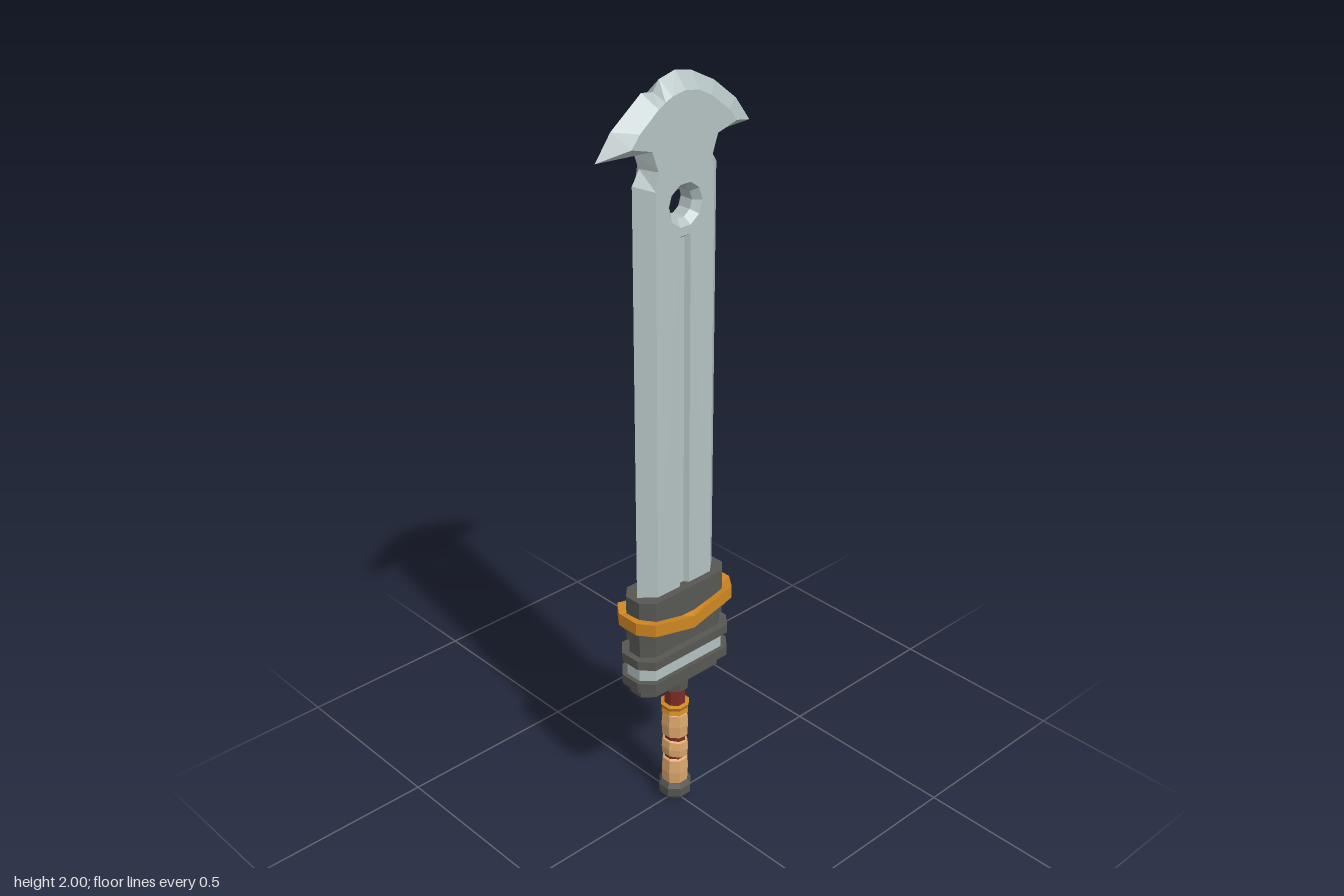
import * as THREE from 'three';

const mat = (name, color) => {
  const m = new THREE.MeshStandardMaterial({ color });
  m.name = name;
  return m;
};

// Flat-shaded copy of a geometry
const flat = (g) => {
  const f = g.index ? g.toNonIndexed() : g;
  f.computeVertexNormals();
  return f;
};

// Blade: flat cheeks, bevelled edges, a pierced hole and a fuller groove
function bladeGeometry() {
  const T = 0.035;
  // rows: edge a, edge y, cheek a, cheek y (a runs along -z)
  const side = [
    [0.13, 0.66, 0.09, 0.66], [0.13, 1.765, 0.09, 1.75], [0.108, 1.8, 0.082, 1.795],
    [0.122, 1.835, 0.1, 1.845], [0.235, 1.84, 0.16, 1.862], [0.19, 1.9, 0.135, 1.892],
  ];
  const crown = [
    [0.12, 1.955, 0.08, 1.935], [0.05, 1.99, 0.04, 1.955], [0, 2, 0, 1.962],
    [-0.048, 1.988, -0.04, 1.955], [-0.066, 1.963, -0.06, 1.946], [-0.1, 1.968, -0.08, 1.935],
  ];
  const mirrored = side.map(([a, b, c, d]) => [-a, b, -c, d]).reverse();
  const outline = [...side, ...crown, ...mirrored];
  const edge = outline.map(([a, b]) => new THREE.Vector2(a, b));
  const cheek = outline.map((r) => new THREE.Vector2(r[2], r[3]));
  const ring = (r) => Array.from({ length: 10 }, (_, i) => {
    const t = (i / 10) * Math.PI * 2;
    return new THREE.Vector2(r * Math.cos(t), 1.7 + r * Math.sin(t));
  });
  const rect = (w, y0, y1) => [[-w, y0], [w, y0], [w, y1], [-w, y1]].map((p) => new THREE.Vector2(...p));
  const rim = ring(0.053), bore = ring(0.036);
  const slot = rect(0.016, 0.67, 1.628), floor = rect(0.008, 0.675, 1.62);

  const tris = [];
  const strip = (A, za, B, zb) => A.forEach((_, i) => {
    const j = (i + 1) % A.length;
    const p = (v, z) => [v.x, v.y, z];
    tris.push([p(A[i], za), p(A[j], za), p(B[j], zb)], [p(A[i], za), p(B[j], zb), p(B[i], zb)]);
  });
  const sheet = (points, holes, z) => {
    const shape = new THREE.Shape(points);
    shape.holes = holes.map((h) => new THREE.Path(h));
    const g = new THREE.ShapeGeometry(shape).toNonIndexed().attributes.position;
    for (let i = 0; i < g.count; i += 3) {
      tris.push([0, 1, 2].map((k) => [g.getX(i + k), g.getY(i + k), z]));
    }
  };
  sheet(cheek, [rim, slot], T);
  strip(edge, 0, cheek, T);
  strip(rim, T, bore, 0.018);
  strip(bore, 0.018, bore, 0);
  strip(slot, T, floor, T - 0.012);
  sheet(floor, [], T - 0.012);

  // Both halves, the second mirrored with its winding reversed
  const pos = [];
  for (const [a, b, c] of tris) {
    pos.push(...a, ...b, ...c);
    for (const [x, y, z] of [a, c, b]) pos.push(x, y, -z);
  }
  const g = new THREE.BufferGeometry();
  g.setAttribute('position', new THREE.Float32BufferAttribute(pos, 3));
  g.rotateY(Math.PI / 2);
  g.computeVertexNormals();
  return g;
}

// Guard slab with chamfered corners; dip lowers its middle into a chevron
function slabGeometry(w, d, y0, y1, dip = 0) {
  const e = w * 0.45, c = d - 0.03;
  const pts = [[w, -c], [w, 0], [w, c], [e, d], [-e, d], [-w, c], [-w, 0], [-w, -c], [-e, -d], [e, -d]];
  const shape = new THREE.Shape(pts.map((p) => new THREE.Vector2(...p)));
  const g = new THREE.ExtrudeGeometry(shape, { depth: y1 - y0, bevelEnabled: false });
  g.rotateX(-Math.PI / 2);
  const p = g.attributes.position;
  for (let i = 0; i < p.count; i++) {
    p.setY(i, p.getY(i) + y0 - dip * Math.max(0, 1 - Math.abs(p.getZ(i)) / c));
  }
  return flat(g);
}

export function createModel() {
  const steel = mat('steel', 0xb4c1c1);
  const iron = mat('dark iron', 0x575753);
  const gold = mat('gold', 0xcf8622);
  const red = mat('red leather', 0x7c2c24);
  const tan = mat('tan wrap', 0xdca76c);

  const model = new THREE.Group();
  model.name = 'sword';
  const add = (name, geometry, material) => {
    const m = new THREE.Mesh(geometry, material);
    m.name = name;
    model.add(m);
    return m;
  };
  // Eight-sided turned part, slope tilts it along z
  const turned = (name, material, profile, slope = 0) => {
    const pts = profile.map(([r, y]) => new THREE.Vector2(r, y));
    const g = new THREE.LatheGeometry(pts, 8, Math.PI / 8);
    const p = g.attributes.position;
    for (let i = 0; i < p.count; i++) p.setY(i, p.getY(i) + slope * p.getZ(i));
    return add(name, flat(g), material);
  };

  add('blade', bladeGeometry(), steel);

  // Stacked guard
  const slabs = [
    ['guardBlock', 0.054, 0.145, 0.565, 0.692, iron],
    ['guardWaist', 0.045, 0.14, 0.52, 0.57, iron],
    ['upperFlange', 0.064, 0.157, 0.5, 0.525, iron],
    ['steelBand', 0.052, 0.145, 0.455, 0.502, steel],
    ['lowerFlange', 0.064, 0.157, 0.43, 0.457, iron],
    ['guardBase', 0.045, 0.138, 0.4, 0.432, iron],
  ];
  for (const [name, w, d, y0, y1, m] of slabs) add(name, slabGeometry(w, d, y0, y1), m);
  add('goldChevron', slabGeometry(0.072, 0.163, 0.61, 0.645, 0.032), gold);
  add('chevronBacking', slabGeometry(0.062, 0.15, 0.592, 0.615, 0.032), iron);

  // Handle
  turned('neck', iron, [[0, 0.362], [0.036, 0.362], [0.04, 0.402], [0, 0.402]]);
  turned('gripCore', red, [[0.029, 0.04], [0.029, 0.37]]);
  turned('goldCollar', gold, [[0.028, 0.282], [0.038, 0.285], [0.034, 0.297], [0.04, 0.31], [0.028, 0.313]]);
  const wraps = [[0.05, 0.136, 0], [0.139, 0.192, 0.2], [0.205, 0.282, 0.1]];
  wraps.forEach(([y0, y1, slope], i) => turned('gripWrap' + (i + 1), tan,
    [[0.028, y0], [0.036, y0 + 0.004], [0.038, (y0 + y1) / 2], [0.035, y1 - 0.004], [0.028, y1]], slope));
  turned('pommel', iron, [[0, 0], [0.032, 0.003], [0.045, 0.02], [0.046, 0.046], [0.038, 0.06], [0, 0.06]]);

  return model;
}
